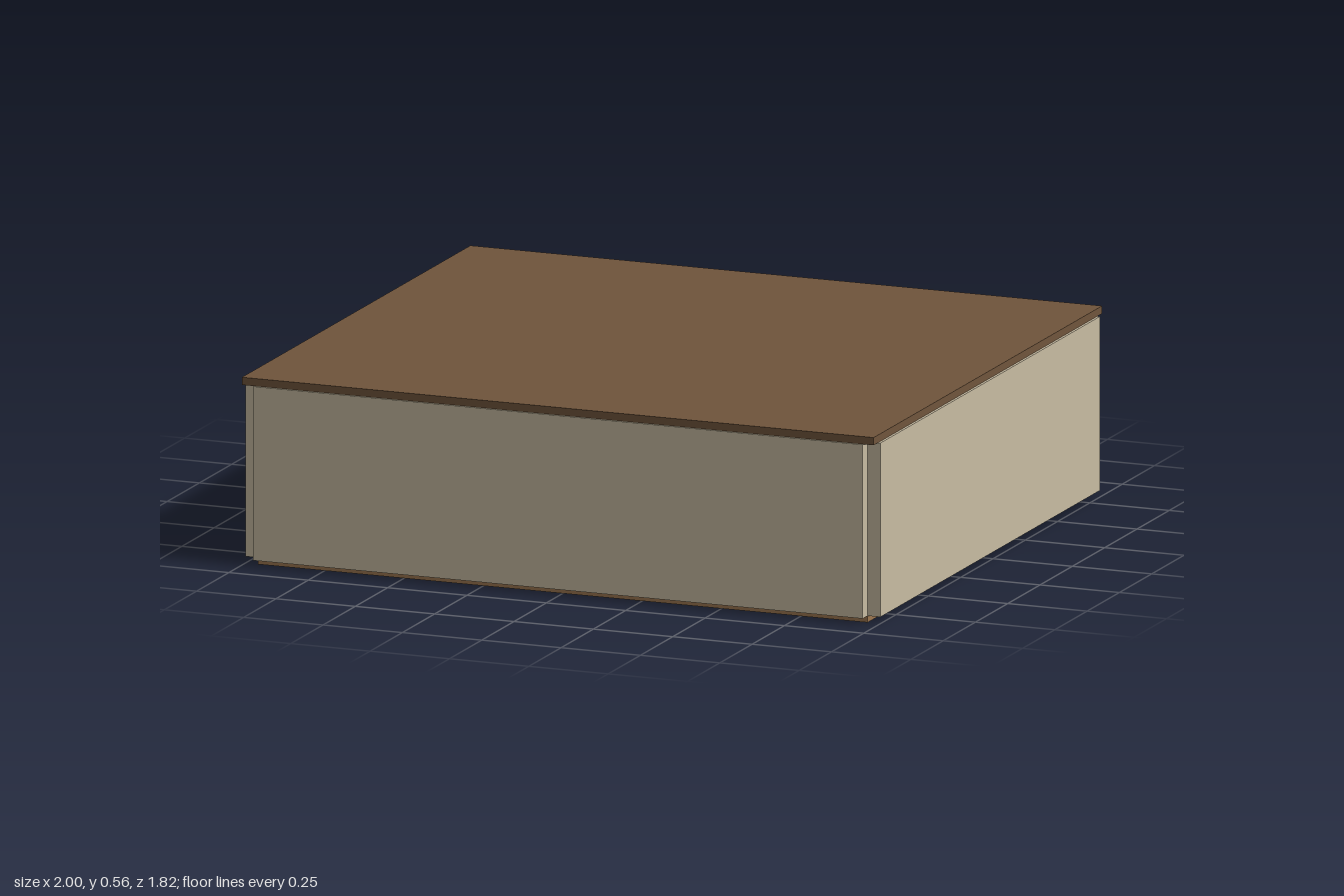
import * as THREE from 'three';

const mat = (color) => new THREE.MeshStandardMaterial({ color });

export function createModel() {
  const house = new THREE.Group();
  house.name = 'house';
  const wallMat = mat(0xc8bca2), roofMat = mat(0x70553c), floorMat = mat(0x9c7650);
  const frameMat = mat(0x4a3226), doorMat = mat(0x633f2d), greenMat = mat(0x3f6b55);

  // Box given by its minimum and maximum on each axis
  const box = (name, [x0, x1], [y0, y1], [z0, z1], material, parent = house) => {
    const mesh = new THREE.Mesh(new THREE.BoxGeometry(x1 - x0, y1 - y0, z1 - z0), material);
    mesh.position.set((x0 + x1) / 2, (y0 + y1) / 2, (z0 + z1) / 2);
    mesh.name = name;
    parent.add(mesh);
    return mesh;
  };

  // Floor slab and flat roof
  box('floor', [-0.96, 0.96], [0, 0.02], [-0.828, 0.872], floorMat);
  box('roof', [-0.998, 0.992], [0.542, 0.565], [-0.864, 0.904], roofMat);

  // Closed walls, leaving an open notch at every corner
  const wallY = [0.02, 0.542];
  box('frontWall', [-0.96, 0.96], wallY, [0.872, 0.91], wallMat);
  box('leftWall', [0.96, 1], wallY, [-0.828, 0.872], wallMat);
  box('rightWall', [-1, -0.96], wallY, [-0.828, 0.872], wallMat);

  // Back wall with the doorway cut out
  const shape = new THREE.Shape([[-0.96, 0.02], [-0.14, 0.02], [-0.14, 0.38], [0.14, 0.38],
    [0.14, 0.02], [0.96, 0.02], [0.96, 0.542], [-0.96, 0.542]].map(([x, y]) => new THREE.Vector2(x, y)));
  const backWall = new THREE.Mesh(new THREE.ExtrudeGeometry(shape, { depth: 0.04, bevelEnabled: false }), wallMat);
  backWall.position.z = -0.868;
  backWall.name = 'backWall';
  house.add(backWall);

  // Door frame and doorstep
  for (const s of [-1, 1]) {
    const x = s * 0.135;
    box('doorJamb', [x - 0.005, x + 0.005], [0.02, 0.38], [-0.866, -0.82], frameMat);
  }
  box('doorLintel', [-0.13, 0.13], [0.37, 0.38], [-0.866, -0.82], frameMat);
  box('doorstep', [-0.145, 0.14], [0.02, 0.028], [-0.908, -0.868], frameMat);

  // Door leaf standing ajar, hinged on the right jamb
  const door = new THREE.Group();
  door.name = 'door';
  door.position.set(-0.138, 0, -0.868);
  door.rotation.y = 0.3;
  box('doorLeaf', [0, 0.12], [0.03, 0.38], [-0.006, 0.006], doorMat, door);
  house.add(door);

  // Ceiling beams
  for (const z of [-0.6, -0.3, 0, 0.3, 0.6]) {
    box('ceilingBeam', [-0.96, 0.96], [0.515, 0.542], [z - 0.015, z + 0.015], frameMat);
  }

  // Small side tables with potted plants either side of the entrance
  for (const s of [-1, 1]) {
    const table = new THREE.Group();
    table.name = 'sideTable';
    table.position.set(s * 0.3, 0.02, -0.56);
    box('tableTop', [-0.06, 0.06], [0.07, 0.08], [-0.06, 0.06], doorMat, table);
    for (const x of [-0.05, 0.05]) for (const z of [-0.05, 0.05]) {
      box('tableLeg', [x - 0.006, x + 0.006], [0, 0.07], [z - 0.006, z + 0.006], doorMat, table);
    }
    const plant = new THREE.Mesh(new THREE.SphereGeometry(0.03, 12, 8), greenMat);
    plant.position.y = 0.11;
    plant.name = 'plant';
    table.add(plant);
    house.add(table);
  }
  return house;
}
